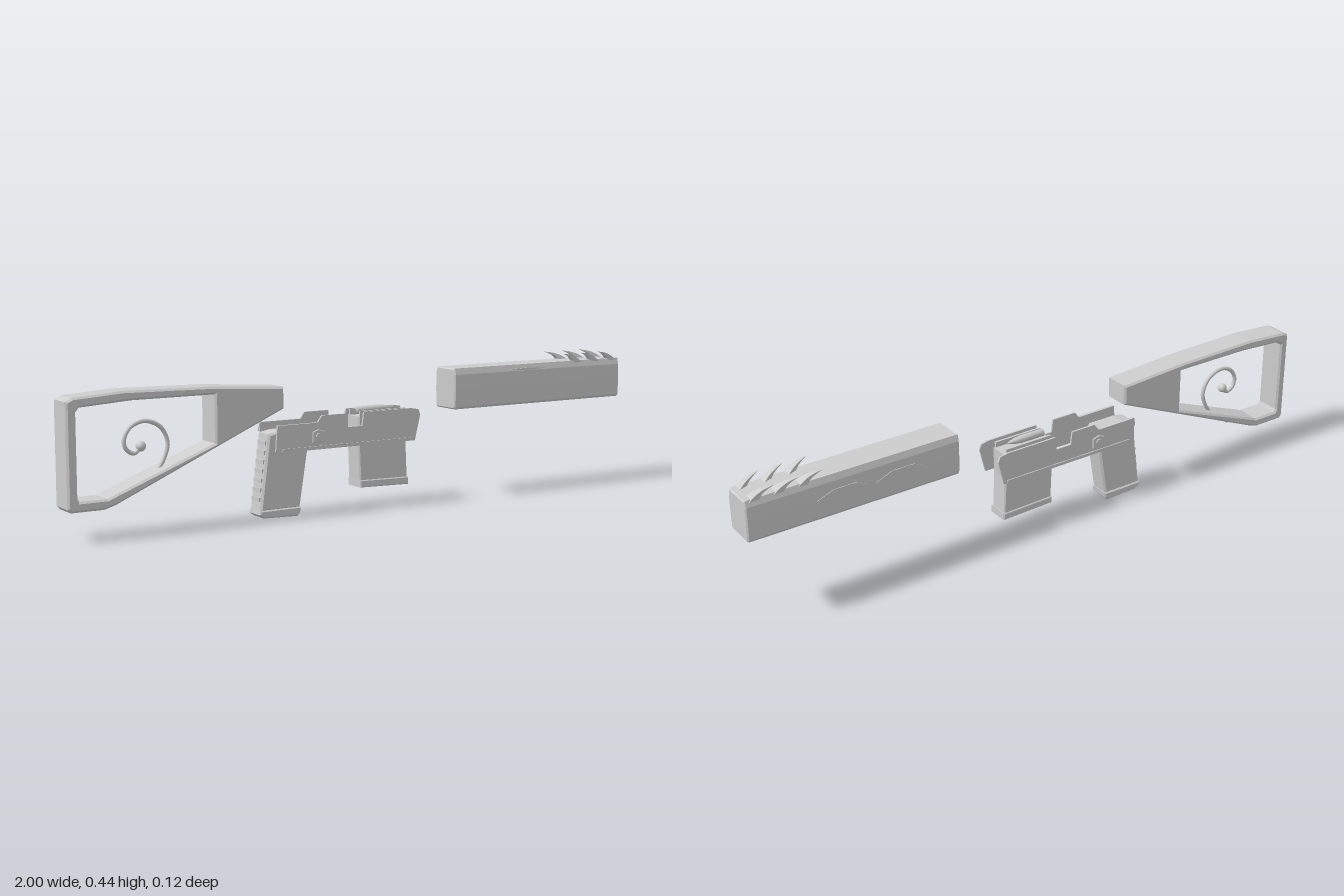
import * as THREE from 'three';

const grey = new THREE.MeshStandardMaterial({ color: 0xcccccc });
grey.name = 'light grey';

const toPoints = (list) => list.map(([x, y]) => new THREE.Vector2(x, y));

// Extrude an outline to a width centred on z = 0, keeping its size when bevelled
function slab(outline, width, bevel = 0, hole = null) {
  const shape = new THREE.Shape(toPoints(outline));
  if (hole) shape.holes.push(new THREE.Path(toPoints(hole)));
  const depth = width - 2 * bevel;
  const geo = new THREE.ExtrudeGeometry(shape, {
    depth, bevelEnabled: bevel > 0, bevelThickness: bevel, bevelSize: bevel,
    bevelOffset: -bevel, bevelSegments: 1, curveSegments: 6,
  });
  return geo.translate(0, 0, -depth / 2);
}

function add(parent, name, geo, x = 0, y = 0, z = 0) {
  const mesh = new THREE.Mesh(geo, grey);
  mesh.name = name;
  mesh.position.set(x, y, z);
  parent.add(mesh);
  return mesh;
}

function makeStock() {
  const g = new THREE.Group();
  g.name = 'stock';
  add(g, 'stockFrame', slab(
    [[-1, 0.095], [-0.99, 0.085], [-0.89, 0.085], [-0.855, 0.095], [-0.31, 0.33], [-0.31, 0.395],
      [-0.55, 0.41], [-0.83, 0.415], [-0.98, 0.405], [-1, 0.395]], 0.088, 0.006,
    [[-0.97, 0.125], [-0.965, 0.115], [-0.88, 0.115], [-0.855, 0.125], [-0.54, 0.245], [-0.54, 0.387],
      [-0.8, 0.387], [-0.96, 0.377], [-0.97, 0.365]]));
  // curled ornament in the opening
  const curl = new THREE.CatmullRomCurve3(
    [[-0.757, 0.249], [-0.778, 0.23], [-0.804, 0.245], [-0.809, 0.272], [-0.79, 0.305], [-0.745, 0.321],
      [-0.695, 0.3], [-0.673, 0.254], [-0.682, 0.215], [-0.705, 0.175]]
      .map(([x, y]) => new THREE.Vector3(x, y, 0)));
  add(g, 'curl', new THREE.TubeGeometry(curl, 60, 0.0065, 8));
  add(g, 'curlBulb', new THREE.SphereGeometry(0.015, 14, 10), -0.757, 0.249, 0);
  add(g, 'lowerStud', new THREE.SphereGeometry(0.01, 10, 8), -0.787, 0.122, 0);
  return g;
}

function makeReceiver() {
  const g = new THREE.Group();
  g.name = 'receiver';
  const plate = slab(
    [[-0.345, 0.205], [-0.335, 0.2], [0.155, 0.2], [0.175, 0.28], [0.168, 0.297], [0.14, 0.302], [-0.035, 0.302],
      [-0.04, 0.26], [-0.095, 0.26], [-0.1, 0.302], [-0.185, 0.302], [-0.2, 0.282], [-0.34, 0.282]], 0.006);
  for (const side of [1, -1]) {
    add(g, 'sidePlate', plate, 0, 0, side * 0.051);
    // rear lip and raised wedge on the outside of each plate
    add(g, 'rearLip', slab([[-0.345, 0.255], [-0.22, 0.255], [-0.2, 0.282], [-0.34, 0.282]], 0.004),
      0, 0, side * 0.055);
    add(g, 'wedge', slab([[-0.22, 0.222], [-0.178, 0.222], [-0.178, 0.255], [-0.2, 0.262], [-0.22, 0.255]], 0.006, 0.002),
      0, 0, side * 0.056);
    const pin = add(g, 'pin', new THREE.CylinderGeometry(0.01, 0.012, 0.01, 12), -0.2, 0.24, side * 0.057);
    pin.rotation.x = side * Math.PI / 2;
    add(g, 'lowerRail', new THREE.BoxGeometry(0.47, 0.01, 0.004), -0.09, 0.206, side * 0.055);
  }
  return g;
}

function makeGrip() {
  const g = new THREE.Group();
  g.name = 'grip';
  add(g, 'gripBody', slab(
    [[-0.387, 0.025], [-0.25, 0.025], [-0.215, 0.24], [-0.225, 0.262], [-0.32, 0.262], [-0.357, 0.255]], 0.066, 0.006));
  add(g, 'gripBase', slab(
    [[-0.39, 0.015], [-0.375, 0.004], [-0.26, 0], [-0.25, 0.01], [-0.247, 0.028], [-0.388, 0.028]], 0.07, 0.004));
  // backstrap ridges
  for (let i = 0; i < 7; i++) {
    add(g, 'ridge', new THREE.BoxGeometry(0.01, 0.012, 0.045), -0.382 + i * 0.0036, 0.06 + i * 0.028, 0);
  }
  return g;
}

function makeMagazine() {
  const g = new THREE.Group();
  g.name = 'magazine';
  add(g, 'magazineBody', slab(
    [[-0.035, 0.08], [0.142, 0.075], [0.136, 0.2], [0.138, 0.285], [-0.04, 0.285], [-0.04, 0.2]], 0.066, 0.004));
  add(g, 'magazineBase', slab(
    [[-0.036, 0.065], [0.145, 0.06], [0.145, 0.084], [-0.036, 0.088]], 0.072, 0.003));
  for (const side of [1, -1]) {
    add(g, 'feedLip', new THREE.BoxGeometry(0.165, 0.024, 0.007), 0.048, 0.29, side * 0.029);
  }
  // pointed round lying on top
  const round = add(g, 'round', new THREE.LatheGeometry(
    toPoints([[0, -0.06], [0.012, -0.06], [0.012, 0.02], [0.009, 0.045], [0.004, 0.065], [0, 0.075]]), 14), 0.035, 0.302, 0);
  round.rotation.z = -Math.PI / 2;
  return g;
}

function makeHandguard() {
  const g = new THREE.Group();
  g.name = 'handguard';
  const body = slab(
    [[-0.047, 0.285], [0.047, 0.285], [0.051, 0.292], [0.053, 0.345], [0.052, 0.395], [0.046, 0.415],
      [-0.046, 0.415], [-0.052, 0.395], [-0.053, 0.345], [-0.051, 0.292]], 0.69, 0.004);
  add(g, 'handguardBody', body.rotateY(Math.PI / 2), 0.655);
  // long six-sided panels on the rear side
  for (const x of [0.51, 0.7]) {
    add(g, 'sidePanel', slab(
      [[-0.085, 0], [-0.03, -0.022], [0.045, -0.022], [0.085, 0], [0.03, 0.022], [-0.045, 0.022]], 0.004),
      x, 0.347, -0.0525);
  }
  // thin sliver on the front side
  add(g, 'sliver', slab([[-0.08, 0.001], [0, -0.004], [0.08, -0.001], [0, 0.003]], 0.004), 0.6, 0.4, 0.051);

  // swept claws: full width at the root, pinched to the outer edge at the tip
  const claw = new THREE.Shape();
  claw.moveTo(0.08, -0.004);
  claw.quadraticCurveTo(0.05, 0.025, 0, 0.027);
  claw.quadraticCurveTo(0.04, 0.018, 0.05, -0.004);
  const clawGeo = new THREE.ExtrudeGeometry(claw, { depth: 1, bevelEnabled: false, curveSegments: 8 });
  const p = clawGeo.attributes.position;
  for (let i = 0; i < p.count; i++) {
    p.setZ(i, 0.05 - (1 - p.getZ(i)) * 0.034 * (0.05 + 0.95 * p.getX(i) / 0.08));
  }
  clawGeo.computeVertexNormals();
  for (const side of [1, -1]) {
    for (let i = 0; i < 3; i++) {
      add(g, 'claw', clawGeo, 0.755 + i * 0.075, 0.413, 0).scale.z = side;
    }
  }
  return g;
}

export function createModel() {
  const model = new THREE.Group();
  model.name = 'model';
  model.add(makeStock(), makeReceiver(), makeGrip(), makeMagazine(), makeHandguard());
  return model;
}
